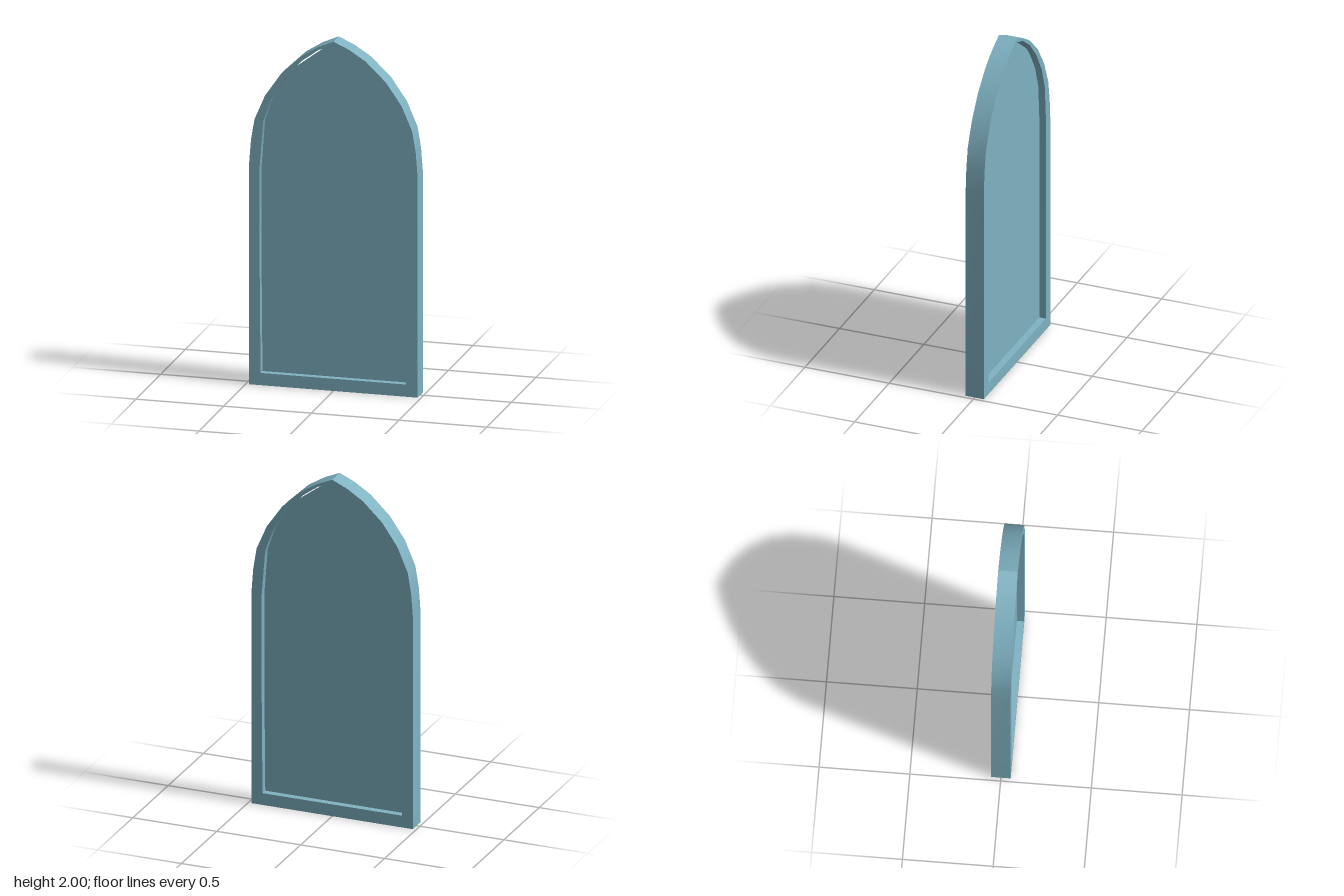
import * as THREE from 'three';
import { toCreasedNormals } from 'three/addons/utils/BufferGeometryUtils.js';

// Right half of an outline, bottom to apex, mirrored into a closed loop
function mirrored(half) {
  const left = half.filter(([x]) => x > 0).reverse().map(([x, y]) => [-x, y]);
  return [...half, ...left].map(([x, y]) => new THREE.Vector2(x, y));
}

function slab(shape, depth) {
  const geometry = new THREE.ExtrudeGeometry(shape, { depth, bevelEnabled: false });
  geometry.translate(0, 0, -depth / 2);
  return toCreasedNormals(geometry, 0.55);
}

export function createModel() {
  const group = new THREE.Group();
  group.name = 'archedWindow';
  const material = new THREE.MeshStandardMaterial({ color: 0x7fb2c2 });

  const outer = [[0.48, 0], [0.48, 1.27], [0.47, 1.4], [0.45, 1.52], [0.39, 1.66],
    [0.3, 1.79], [0.185, 1.9], [0.09, 1.96], [0, 2]];
  const opening = [[0.415, 0.07], [0.42, 0.65], [0.42, 1.25], [0.4, 1.51], [0.355, 1.64],
    [0.275, 1.77], [0.18, 1.875], [0.085, 1.945], [0, 1.978]];

  // Pointed-arch frame around the opening
  const frameShape = new THREE.Shape(mirrored(outer));
  frameShape.holes.push(new THREE.Path(mirrored(opening)));
  const frame = new THREE.Mesh(slab(frameShape, 0.108), material);
  frame.name = 'frame';

  // Thin recessed pane, leaving a narrow gap under each shoulder of the arch
  const paneHalf = [[0.43, 0.06], [0.43, 1.25], [0.41, 1.51], [0.36, 1.645],
    [0.24, 1.815], [0.04, 1.965], [0, 1.98]];
  const pane = new THREE.Mesh(slab(new THREE.Shape(mirrored(paneHalf)), 0.03), material);
  pane.name = 'pane';

  group.add(frame, pane);
  return group;
}
